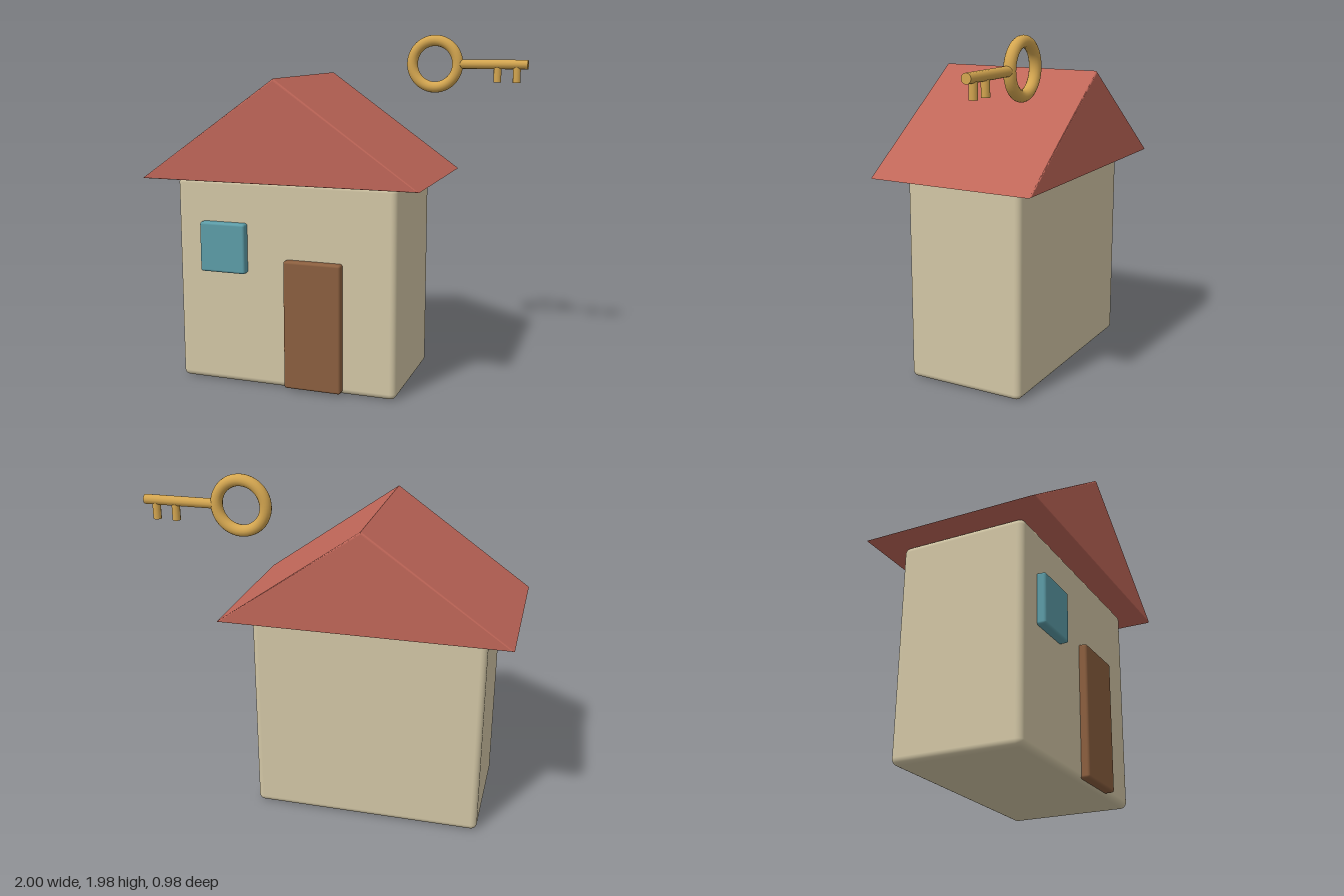
import * as THREE from 'three';
import { RoundedBoxGeometry } from 'three/addons/geometries/RoundedBoxGeometry.js';

function material(name, color) {
  const m = new THREE.MeshStandardMaterial({ color });
  m.name = name;
  return m;
}

function addMesh(parent, name, geometry, mat, x = 0, y = 0, z = 0) {
  const mesh = new THREE.Mesh(geometry, mat);
  mesh.name = name;
  mesh.position.set(x, y, z);
  parent.add(mesh);
  return mesh;
}

export function createModel() {
  const model = new THREE.Group();
  model.name = 'houseAndKey';
  const wall = material('wallCream', 0xd2c6a5);
  const red = material('roofRed', 0xbf6658);
  const wood = material('doorBrown', 0x8b5f3f);
  const glass = material('windowBlue', 0x5c9ca7);
  const gold = material('keyGold', 0xd4a650);

  // Softly rounded house body
  addMesh(model, 'walls', new RoundedBoxGeometry(1.295, 1.187, 0.708, 4, 0.035), wall, -0.207, 0.5935, 0);

  // Gable roof with a narrow bevel kept inside its outline
  const gable = new THREE.Shape([
    new THREE.Vector2(-0.795, 0),
    new THREE.Vector2(0.795, 0),
    new THREE.Vector2(0, 0.563),
  ]);
  const bevel = 0.01, roofDepth = 0.98;
  const roof = new THREE.ExtrudeGeometry(gable, {
    depth: roofDepth - 2 * bevel, bevelEnabled: true, bevelThickness: bevel,
    bevelSize: bevel, bevelOffset: -bevel, bevelSegments: 3,
  });
  roof.translate(0, 0, bevel - roofDepth / 2);
  addMesh(model, 'roof', roof, red, -0.205, 1.187, 0);

  // Door and window set onto the front wall
  addMesh(model, 'door', new RoundedBoxGeometry(0.333, 0.735, 0.06, 3, 0.014), wood, -0.03, 0.3825, 0.368);
  addMesh(model, 'window', new RoundedBoxGeometry(0.273, 0.285, 0.06, 3, 0.014), glass, -0.562, 0.798, 0.371);

  // Floating key: ring bow, shaft and two teeth
  const key = new THREE.Group();
  key.name = 'key';
  key.position.set(0.46, 1.81, -0.377);
  model.add(key);
  addMesh(key, 'bow', new THREE.TorusGeometry(0.135, 0.032, 16, 48), gold);
  const shaft = addMesh(key, 'shaft', new THREE.CylinderGeometry(0.027, 0.027, 0.4, 12), gold, 0.34, 0, 0);
  shaft.rotation.z = Math.PI / 2;
  for (const x of [0.367, 0.477]) {
    addMesh(key, 'tooth', new THREE.CylinderGeometry(0.022, 0.022, 0.1, 12), gold, x, -0.053, 0);
  }
  return model;
}
